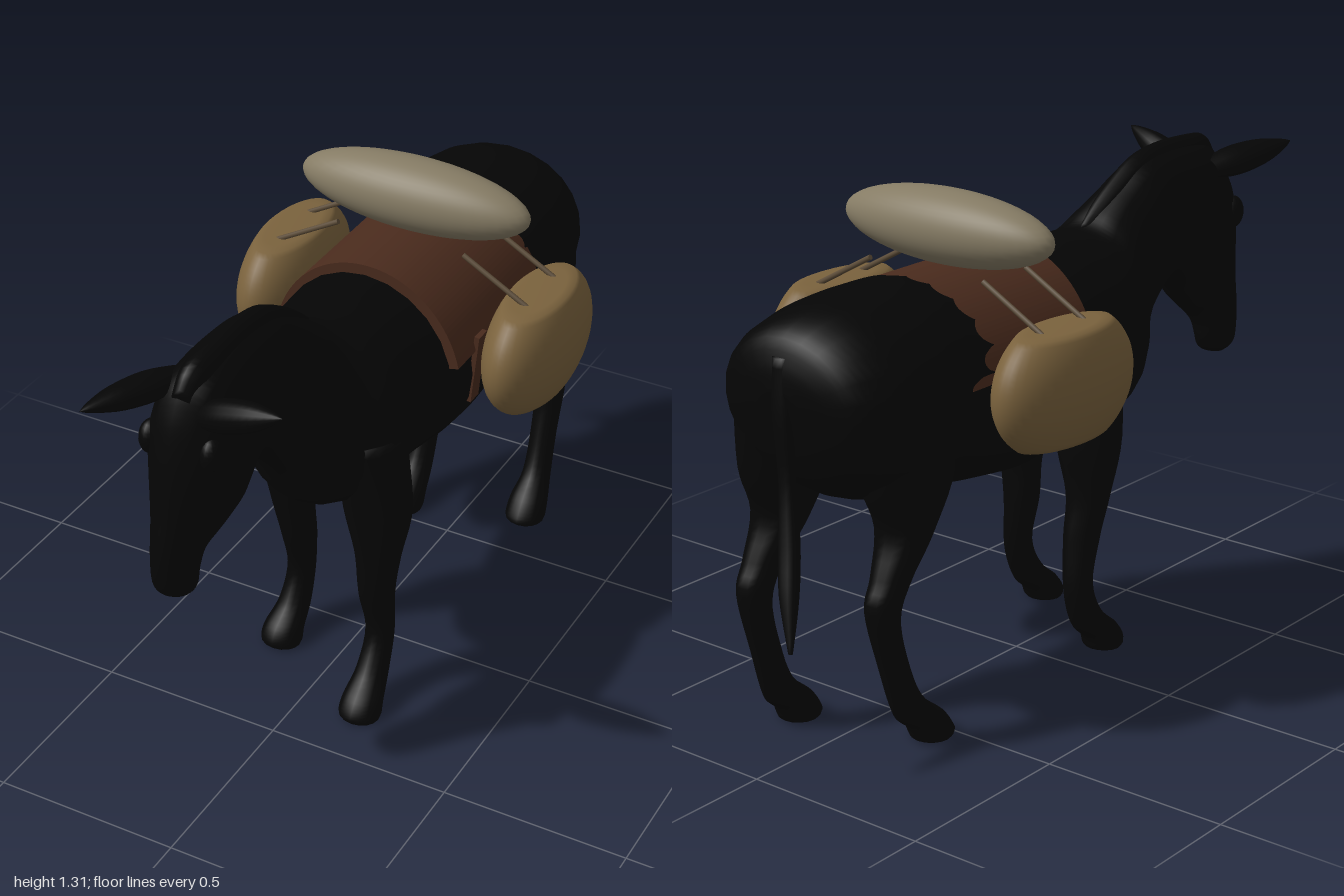
import * as THREE from 'three';

const mat = (color) => new THREE.MeshStandardMaterial({ color });

// Smooth skin through oval sections: [z, y of upper edge, z, y of lower edge, centre x, half width]
function loft(sections, steps = 5, sides = 24) {
  const at = (i) => sections[Math.max(0, Math.min(sections.length - 1, i))];
  const rows = [];
  for (let i = 0; i < sections.length - 1; i++) {
    for (let s = 0; s < steps; s++) {
      const t = s / steps;
      rows.push(at(i).map((b, k) => {
        const a = at(i - 1)[k], c = at(i + 1)[k], d = at(i + 2)[k];
        return b + 0.5 * t * (c - a + t * (2 * a - 5 * b + 4 * c - d + t * (3 * (b - c) + d - a)));
      }));
    }
  }
  rows.push(at(sections.length - 1));
  // collapse both ends to close the skin
  const point = ([az, ay, bz, by, x]) => [(az + bz) / 2, (ay + by) / 2, (az + bz) / 2, (ay + by) / 2, x, 0];
  rows.unshift(point(rows[0]));
  rows.push(point(rows[rows.length - 1]));

  const pos = [], index = [];
  rows.forEach(([az, ay, bz, by, x, w], r) => {
    for (let j = 0; j < sides; j++) {
      const th = (j / sides) * Math.PI * 2, c = Math.cos(th) / 2;
      pos.push(x + w * Math.sin(th), (ay + by) / 2 + (ay - by) * c, (az + bz) / 2 + (az - bz) * c);
      if (r === rows.length - 1) continue;
      const a = r * sides + j, b = r * sides + (j + 1) % sides;
      index.push(a, a + sides, b, b, a + sides, b + sides);
    }
  });
  const geo = new THREE.BufferGeometry();
  geo.setAttribute('position', new THREE.Float32BufferAttribute(pos, 3));
  geo.setIndex(index);
  geo.computeVertexNormals();
  return geo;
}

// Places a y-aligned geometry of unit length between two points
function between(mesh, from, to) {
  const a = new THREE.Vector3(...from), d = new THREE.Vector3(...to).sub(a);
  mesh.position.copy(a);
  mesh.scale.y = d.length();
  mesh.quaternion.setFromUnitVectors(new THREE.Vector3(0, 1, 0), d.normalize());
  return mesh;
}

export function createModel() {
  const model = new THREE.Group();
  const coat = mat(0x050505), leather = mat(0x4a2b1d), sack = mat(0x7a623d), cloth = mat(0x857b64), rope = mat(0x5c4c38);
  const add = (name, geo, material) => {
    const mesh = new THREE.Mesh(geo, material);
    mesh.name = name;
    model.add(mesh);
    return mesh;
  };

  // Body, neck and lowered head, from rump to muzzle
  add('bodyAndHead', loft([
    [-0.895, 0.95, -0.88, 0.85, 0, 0.06],
    [-0.885, 1.02, -0.86, 0.78, 0, 0.15],
    [-0.85, 1.085, -0.82, 0.71, 0, 0.22],
    [-0.75, 1.125, -0.72, 0.645, -0.01, 0.262],
    [-0.60, 1.14, -0.58, 0.62, -0.01, 0.268],
    [-0.50, 1.14, -0.48, 0.615, -0.01, 0.26],
    [-0.43, 1.13, -0.41, 0.595, -0.01, 0.26],
    [-0.30, 1.108, -0.30, 0.575, -0.01, 0.265],
    [-0.12, 1.10, -0.14, 0.56, -0.01, 0.262],
    [0.08, 1.11, 0.05, 0.58, -0.01, 0.238],
    [0.19, 1.11, 0.25, 0.59, -0.01, 0.225],
    [0.25, 1.12, 0.335, 0.63, -0.02, 0.19],
    [0.30, 1.155, 0.38, 0.72, -0.025, 0.155],
    [0.37, 1.20, 0.44, 0.80, -0.03, 0.125],
    [0.46, 1.25, 0.51, 0.87, -0.035, 0.112],
    [0.57, 1.268, 0.57, 0.90, -0.035, 0.108],
    [0.70, 1.265, 0.62, 0.875, -0.035, 0.115],
    [0.785, 1.24, 0.66, 0.83, -0.035, 0.118],
    [0.825, 1.17, 0.70, 0.79, -0.045, 0.108],
    [0.85, 1.07, 0.725, 0.765, -0.05, 0.088],
    [0.87, 0.92, 0.74, 0.735, -0.06, 0.064],
    [0.89, 0.78, 0.745, 0.70, -0.065, 0.053],
    [0.88, 0.69, 0.765, 0.665, -0.065, 0.05],
    [0.845, 0.655, 0.80, 0.65, -0.065, 0.025],
  ]), coat);

  // Upright mane ending in a forelock between the ears
  add('mane', loft([
    [0.24, 1.115, 0.29, 1.03, -0.025, 0.02],
    [0.30, 1.168, 0.35, 1.08, -0.027, 0.032],
    [0.37, 1.217, 0.42, 1.12, -0.03, 0.038],
    [0.46, 1.265, 0.48, 1.16, -0.03, 0.04],
    [0.57, 1.285, 0.57, 1.17, -0.03, 0.04],
    [0.70, 1.284, 0.67, 1.17, -0.03, 0.042],
    [0.78, 1.272, 0.72, 1.15, -0.03, 0.04],
    [0.82, 1.22, 0.77, 1.12, -0.035, 0.03],
  ], 4, 16), coat);

  // Brows over the eyes
  for (const side of [1, -1]) {
    const brow = add(side > 0 ? 'leftBrow' : 'rightBrow', new THREE.SphereGeometry(1, 16, 12), coat);
    brow.scale.set(0.028, 0.045, 0.035);
    brow.position.set(-0.047 + side * 0.082, 1.065, 0.795);
  }

  // Legs: each pair shares one shape, with one leg stepping ahead
  const front = [
    [0.31, 0.82, 0.10, 0.82, 0.14, 0.07],
    [0.285, 0.62, 0.135, 0.60, 0.15, 0.095],
    [0.275, 0.45, 0.165, 0.45, 0.158, 0.062],
    [0.268, 0.33, 0.165, 0.33, 0.153, 0.048],
    [0.25, 0.21, 0.17, 0.19, 0.16, 0.038],
    [0.30, 0.115, 0.21, 0.09, 0.163, 0.042],
    [0.365, 0.06, 0.265, 0.04, 0.167, 0.054],
    [0.39, 0.02, 0.28, 0.012, 0.168, 0.057],
    [0.38, 0.002, 0.288, 0.002, 0.168, 0.052],
  ];
  const hind = [
    [-0.57, 0.88, -0.86, 0.88, 0.13, 0.12],
    [-0.58, 0.71, -0.84, 0.69, 0.15, 0.105],
    [-0.66, 0.56, -0.80, 0.58, 0.155, 0.075],
    [-0.74, 0.45, -0.84, 0.47, 0.16, 0.05],
    [-0.78, 0.36, -0.87, 0.39, 0.16, 0.043],
    [-0.755, 0.24, -0.83, 0.22, 0.16, 0.037],
    [-0.71, 0.13, -0.79, 0.09, 0.163, 0.04],
    [-0.645, 0.07, -0.745, 0.045, 0.167, 0.054],
    [-0.61, 0.02, -0.73, 0.012, 0.168, 0.057],
    [-0.62, 0.002, -0.722, 0.002, 0.168, 0.052],
  ];
  // the step shifts the hoof by dz and the rest less with height
  const leg = (shape, side, dz, lean) => loft(shape.map(([az, ay, bz, by, x, w]) =>
    [az + dz + lean * ay, ay, bz + dz + lean * by, by, x * side, w]), 5, 16);
  add('leftFrontLeg', leg(front, 1, 0, 0), coat);
  add('rightFrontLeg', leg(front, -1, -0.175, 0.13), coat);
  add('leftHindLeg', leg(hind, 1, 0, 0), coat);
  add('rightHindLeg', leg(hind, -1, 0.12, -0.03), coat);

  // Tail
  add('tail', loft([
    [-0.83, 1.04, -0.89, 1.03, 0, 0.03],
    [-0.86, 0.90, -0.905, 0.90, -0.01, 0.028],
    [-0.87, 0.74, -0.91, 0.74, -0.025, 0.022],
    [-0.89, 0.60, -0.94, 0.60, -0.05, 0.028],
    [-0.93, 0.48, -0.975, 0.48, -0.08, 0.026],
    [-0.99, 0.36, -1.0, 0.36, -0.12, 0.006],
  ], 4, 12), coat);

  // Ears, one sideways and one forward
  const earProfile = [[0.03, 0], [0.04, 0.2], [0.042, 0.4], [0.034, 0.66], [0.014, 0.9], [0, 1]];
  const earGeo = new THREE.LatheGeometry(
    new THREE.SplineCurve(earProfile.map((p) => new THREE.Vector2(...p))).getPoints(16)
      .map((p) => new THREE.Vector2(Math.max(0, p.x), p.y)), 16);
  between(add('leftEar', earGeo, coat), [0.0, 1.15, 0.775], [0.245, 1.25, 0.83]);
  const rightEar = between(add('rightEar', earGeo, coat), [-0.10, 1.195, 0.72], [-0.178, 1.235, 1.0]);
  rightEar.scale.x = 1.2;
  rightEar.scale.z = 0.85;

  // Saddle blanket: an arched band over the back
  const arch = new THREE.Shape(), a0 = 0.23;
  arch.absellipse(0, 0, 0.27, 0.295, a0, Math.PI - a0, false);
  const inner = new THREE.EllipseCurve(0, 0, 0.238, 0.26, Math.PI - a0, a0, true).getPoints(32);
  inner.forEach((p) => arch.lineTo(p.x, p.y));
  const blanket = add('saddleBlanket', new THREE.ExtrudeGeometry(arch, { depth: 0.48, bevelEnabled: false, curveSegments: 32 }), leather);
  blanket.position.set(-0.005, 0.837, -0.5);

  // Saddlebags: ovals flattened above and below, with their straps and cords
  const cut = 0.835;
  const bagProfile = [new THREE.Vector2(0, -0.142), new THREE.Vector2(0.5, -0.142)];
  for (let i = 0; i <= 20; i++) {
    const t = -cut + (2 * cut * i) / 20;
    bagProfile.push(new THREE.Vector2(Math.cos(t), Math.sin(t) * 0.138 / Math.sin(cut)));
  }
  bagProfile.push(new THREE.Vector2(0.5, 0.142), new THREE.Vector2(0, 0.142));
  const bagGeo = new THREE.LatheGeometry(bagProfile, 40);
  const cordGeo = new THREE.CylinderGeometry(0.007, 0.007, 1, 8).translate(0, 0.5, 0);
  for (const [side, label] of [[1, 'left'], [-1, 'right']]) {
    const bag = add(label + 'Saddlebag', bagGeo, sack);
    bag.position.set(side * 0.36, 0.89, -0.27);
    bag.scale.set(0.107, 1, 0.247);
    const strap = add(label + 'Strap', new THREE.BoxGeometry(0.014, 0.2, 0.045), leather);
    strap.position.set(side * 0.25, 0.845, -0.14);
    strap.rotation.z = side * -0.1;
    for (const z of [-0.19, -0.355]) {
      between(add(label + 'Cord', cordGeo, rope), [side * 0.18, 1.128, z], [side * 0.365, 1.025, z]);
    }
  }

  // Bedroll across the back
  const roll = add('bedroll', new THREE.SphereGeometry(1, 40, 24), cloth);
  roll.scale.set(0.325, 0.095, 0.1);
  roll.position.set(0, 1.22, -0.27);

  return model;
}
